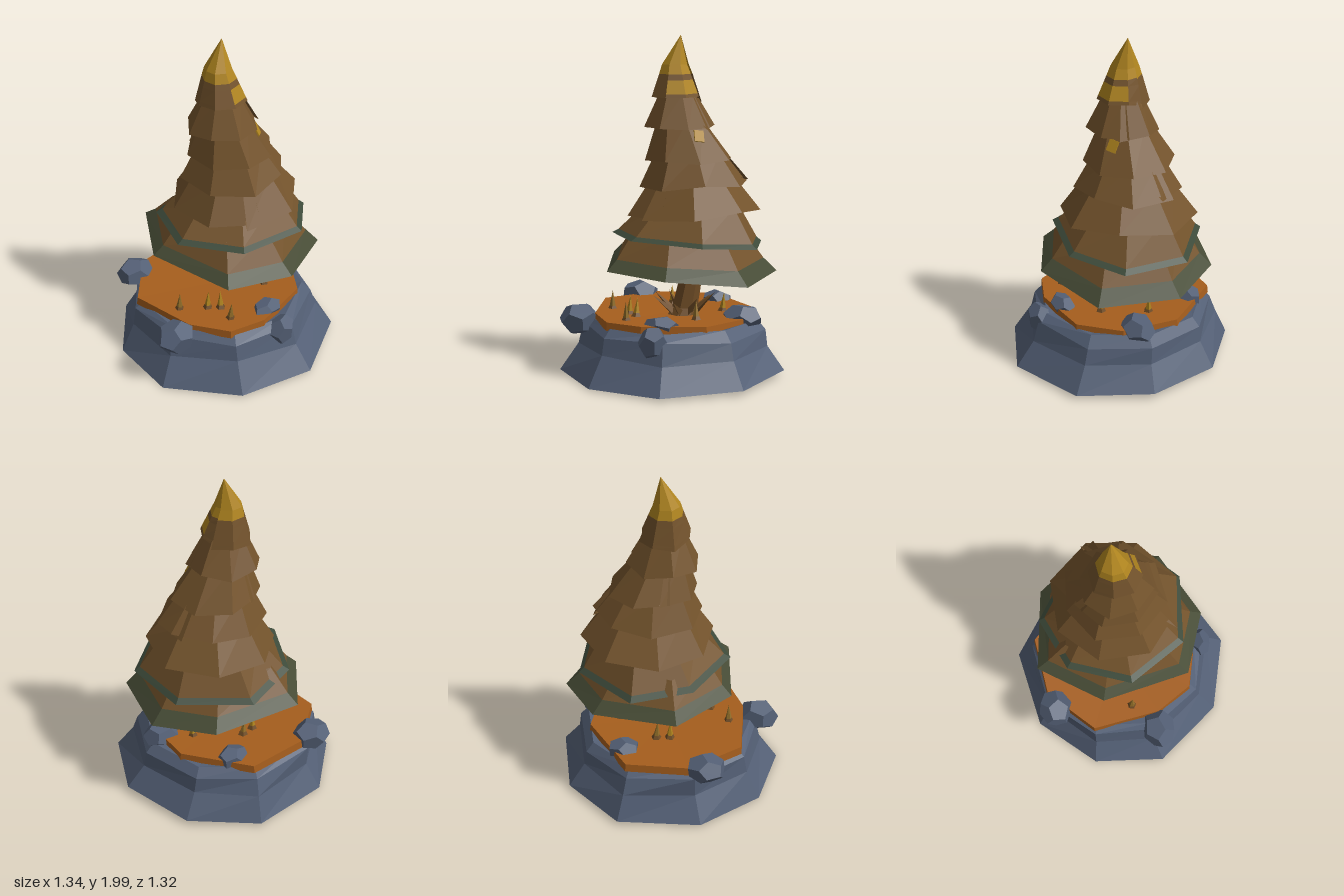
import * as THREE from 'three';

const mat = (name, color) =>
  new THREE.MeshStandardMaterial({ name, color, flatShading: true, side: THREE.DoubleSide });

const stone = mat('stone', 0x546076);
const soil = mat('soil', 0xa65e1d);
const needles = mat('brown needles', 0x73532c);
const green = mat('green needles', 0x474c36);
const darkGreen = mat('dark green needles', 0x3d4a3a);
const gold = mat('golden needles', 0xb0851f);
const bark = mat('bark', 0x704d26);
const grass = mat('dry grass', 0x94702a);

// Small seeded noise in the range -1 to 1
let seed = 11;
const rnd = () => {
  seed = (seed * 16807) % 2147483647;
  return (seed / 2147483647) * 2 - 1;
};

const V = (x, y, z) => new THREE.Vector3(x, y, z);

// Flat facets between two rings of points
function loft(name, lower, upper, material) {
  const pts = [];
  for (let i = 0; i < lower.length - 1; i++) {
    const [a, b, c, d] = [lower[i + 1], lower[i], upper[i], upper[i + 1]];
    if (a.distanceTo(b) > 1e-5) pts.push(a, b, c);
    if (c.distanceTo(d) > 1e-5) pts.push(a, c, d);
  }
  const geo = new THREE.BufferGeometry().setFromPoints(pts);
  geo.computeVertexNormals();
  const mesh = new THREE.Mesh(geo, material);
  mesh.name = name;
  return mesh;
}

// Lofts a stack of rings from bottom to top
function stack(name, rings, materials) {
  const group = new THREE.Group();
  group.name = name;
  for (let i = 0; i < rings.length - 1; i++) {
    group.add(loft(name + 'Band', rings[i], rings[i + 1], materials[i] || materials[0]));
  }
  return group;
}

// Closed round ring
function ring(cx, y, cz, r, n) {
  const pts = [];
  for (let i = 0; i <= n; i++) {
    const t = ((i % n) / n) * Math.PI * 2;
    pts.push(V(cx + Math.cos(t) * r, y, cz + Math.sin(t) * r));
  }
  return pts;
}

const point = (pts, x, y, z) => pts.map(() => V(x, y, z));

// Ring between two others; the height may advance by its own fraction
const blend = (a, b, f, fy = f) => a.map((p, i) => {
  const q = p.clone().lerp(b[i], f);
  q.y = p.y + (b[i].y - p.y) * fy;
  return q;
});

function rockBase() {
  // Footprint of the block, ordered from +x towards +z
  const foot = [
    [0.67, 0.08], [0.46, 0.48], [0.01, 0.66], [-0.42, 0.49], [-0.67, 0.08],
    [-0.58, -0.34], [-0.25, -0.63], [0.24, -0.66], [0.57, -0.37],
  ];
  const level = (y, s, wobble, back = 0) => {
    const pts = foot.map(([x, z]) => {
      const k = s * (1 + rnd() * wobble);
      return V(x * k, y + rnd() * wobble * 0.6, z * k - back);
    });
    return [...pts, pts[0]];
  };
  const bottom = level(0.025, 1, 0);
  bottom.forEach((p) => { p.y += p.x * 0.02; });
  return stack('rockBase', [
    point(bottom, 0, 0.01, 0), bottom,
    level(0.18, 0.86, 0.025, 0.02), level(0.29, 0.81, 0.025, 0.03),
    level(0.335, 0.745, 0.015, 0.03), level(0.32, 0.62, 0, 0.03),
  ], [stone]);
}

function soilBed() {
  const outline = [
    [0.46, -0.18], [0.43, 0.16], [0.24, 0.37], [-0.13, 0.41], [-0.34, 0.33],
    [-0.45, 0.1], [-0.46, -0.31], [-0.17, -0.54], [0.2, -0.54], [0.46, -0.18],
  ];
  const top = outline.map(([x, z]) => V(x, 0.368, z));
  const bottom = outline.map(([x, z]) => V(x * 1.01, 0.32, z * 1.01));
  return stack('soilBed', [bottom, top, point(top, 0, 0.355, -0.05)], [soil]);
}

// One skirt of branches, either from a given rim or from a ragged ring
// that winds outward slightly so its ends overlap
function tier({ c, r, y, tilt = [0, 0], phase, top, ty, tc, rim, ragged = 0.05 }) {
  const edge = [];
  if (rim) {
    rim.forEach(([px, py, pz]) => edge.push(V(px, py, pz)));
    edge.push(edge[0]);
  } else {
    const n = 8;
    for (let i = 0; i <= n; i++) {
      const f = i / n;
      const t = phase + f * (Math.PI * 2 + 0.25);
      const k = r * (0.97 + 0.06 * f + rnd() * ragged);
      const [x, z] = [Math.cos(t) * k, Math.sin(t) * k];
      edge.push(V(c[0] + x, y + x * tilt[0] + z * tilt[1] + rnd() * ragged * 0.3, c[1] + z));
    }
  }
  const shift = (s, h) => edge.map((p) => V(tc[0] + (p.x - c[0]) * s, h, tc[1] + (p.z - c[1]) * s));
  return { inner: shift(0.05 / r, y + (ty - y) * 0.6), edge, upper: shift(top / r, ty) };
}

function foliage() {
  const group = new THREE.Group();
  group.name = 'foliage';

  // Lowest skirt, open below, with a wide green hem
  const low = tier({
    c: [0.11, -0.04], r: 0.5, top: 0.32, ty: 0.87, tc: [0.08, -0.04], y: 0.645,
    rim: [[0.61, 0.61, -0.11], [0.47, 0.595, 0.34], [0.02, 0.645, 0.49], [-0.34, 0.66, 0.31],
      [-0.39, 0.68, -0.23], [-0.1, 0.69, -0.57], [0.4, 0.64, -0.44]],
  });
  group.add(stack('lowestBranches', [low.edge, blend(low.edge, low.upper, 0.38, 0.3), low.upper], [green, needles]));

  // Second skirt, green underneath, with a flat green hem
  const second = tier({
    c: [0.07, -0.045], r: 0.455, top: 0.28, ty: 1.01, tc: [0.1, -0.04], y: 0.805,
    rim: [[0.51, 0.785, 0.19], [0.22, 0.82, 0.4], [-0.2, 0.84, 0.31], [-0.37, 0.83, -0.05],
      [-0.18, 0.81, -0.4], [0.17, 0.775, -0.495], [0.51, 0.77, -0.21]],
  });
  group.add(stack('secondBranches',
    [second.inner, second.edge, blend(second.edge, second.upper, 0.2, 0.12), second.upper],
    [darkGreen, darkGreen, needles]));

  // Brown skirts towards the top
  [
    { c: [0.115, -0.035], r: 0.385, y: 0.965, tilt: [0.05, 0.02], phase: 2.0, top: 0.24, ty: 1.17, tc: [0.11, -0.035] },
    { c: [0.125, -0.04], r: 0.315, y: 1.135, tilt: [0.03, 0], phase: 5.9, top: 0.2, ty: 1.32, tc: [0.1, -0.045], ragged: 0.07 },
    { c: [0.09, -0.045], r: 0.26, y: 1.285, tilt: [0, -0.03], phase: 4.2, top: 0.14, ty: 1.5, tc: [0.04, -0.045], ragged: 0.07 },
    { c: [0.02, -0.045], r: 0.21, y: 1.465, tilt: [0, 0.04], phase: 0.3, top: 0.11, ty: 1.66, tc: [0.015, -0.045], ragged: 0.06 },
  ].forEach((spec, i) => {
    const { inner, edge, upper } = tier(spec);
    group.add(stack('upperBranches' + (i + 1), [inner, edge, upper], [needles]));
  });

  // Top skirt with two golden panels towards the front
  const high = tier({
    c: [0.012, -0.045], r: 0.15, y: 1.63, tilt: [0, 0.08], phase: -0.6, top: 0.1, ty: 1.775, tc: [0.008, -0.055],
  });
  const a = blend(high.edge, high.upper, 0.15);
  const b = blend(high.edge, high.upper, 0.75);
  group.add(stack('topBranches', [high.inner, high.edge, a], [needles]));
  [[0, 2, needles], [1, 3, gold], [2, 4, gold], [3, 9, needles]].forEach(([from, to, m]) => {
    group.add(loft('topBranchPanels', a.slice(from, to), b.slice(from, to), m));
  });
  group.add(loft('topBranchCollar', b, high.upper, needles));

  // Crown point
  const shoulder = high.upper.map((p) => V(0.005 + (p.x - 0.008) * 0.8, 1.83, -0.06 + (p.z + 0.055) * 0.8));
  group.add(stack('goldenTip', [high.upper, shoulder, point(shoulder, 0.04, 2, -0.065)], [gold]));

  // Small golden patch lying on the slope
  const patch = new THREE.Mesh(new THREE.BoxGeometry(0.06, 0.07, 0.008), gold);
  patch.name = 'goldenPatch';
  patch.position.set(0.165, 1.425, 0.094);
  patch.quaternion.setFromUnitVectors(V(0, 0, 1), V(0.55, 0.5, 0.8).normalize());
  group.add(patch);
  return group;
}

// Spike whose base sits at p and which points along dir
function spike(name, p, dir, length, radius, sides, material) {
  const geo = new THREE.ConeGeometry(radius, length, sides).translate(0, length / 2, 0);
  const mesh = new THREE.Mesh(geo, material);
  mesh.name = name;
  mesh.position.copy(p);
  mesh.quaternion.setFromUnitVectors(V(0, 1, 0), dir.normalize());
  return mesh;
}

export function createModel() {
  const model = new THREE.Group();
  model.name = 'treeOnRock';
  model.add(rockBase(), soilBed(), foliage());

  // Leaning trunk
  model.add(stack('trunk', [
    ring(0.05, 0.33, 0, 0.1, 7), ring(0.07, 0.4, -0.01, 0.078, 7),
    ring(0.11, 0.6, -0.02, 0.068, 7), ring(0.13, 0.88, -0.03, 0.06, 7),
  ], [bark]));

  // Tuft of blades around the trunk
  for (let i = 0; i < 8; i++) {
    const t = (i / 8) * Math.PI * 2 + 0.2;
    const [x, z] = [Math.cos(t), Math.sin(t)];
    model.add(spike('trunkBlade', V(0.065 + x * 0.05, 0.355, -0.01 + z * 0.05),
      V(x, 0.85 + rnd() * 0.2, z), 0.18 + rnd() * 0.02, 0.03, 3, bark));
  }

  // Grass spikes with a broad brown foot, some of them golden
  [[-0.24, 0.24], [-0.2, 0.13], [-0.37, -0.05], [-0.25, 0.07],
    [0.16, 0.17], [0.29, -0.08], [0.05, -0.26], [-0.03, -0.25]].forEach(([x, z], i) => {
    const lean = V(rnd() * 0.1, 1, rnd() * 0.1);
    model.add(spike('grassSpike', V(x, 0.35, z), lean, 0.125, 0.026, 5, i % 2 ? gold : grass));
    model.add(spike('grassFoot', V(x, 0.35, z), lean, 0.07, 0.036, 5, bark));
  });

  // Loose stones: position, half sizes, turn
  for (const [x, y, z, a, b, c, turn] of [
    [-0.545, 0.325, 0.08, 0.125, 0.1, 0.105, 0.3],
    [-0.27, 0.36, -0.515, 0.12, 0.085, 0.105, 0.9],
    [0.42, 0.355, 0.06, 0.12, 0.085, 0.1, 1.4],
    [-0.05, 0.29, 0.48, 0.09, 0.1, 0.07, 0.2],
    [-0.02, 0.355, 0.34, 0.11, 0.065, 0.07, 0.5],
    [0.23, 0.355, -0.38, 0.1, 0.07, 0.08, 2.1],
  ]) {
    const rock = new THREE.Mesh(new THREE.DodecahedronGeometry(1, 0).rotateY(turn).rotateX(turn * 0.6), stone);
    rock.name = 'looseStone';
    rock.position.set(x, y, z);
    rock.scale.set(a, b, c);
    model.add(rock);
  }
  return model;
}
